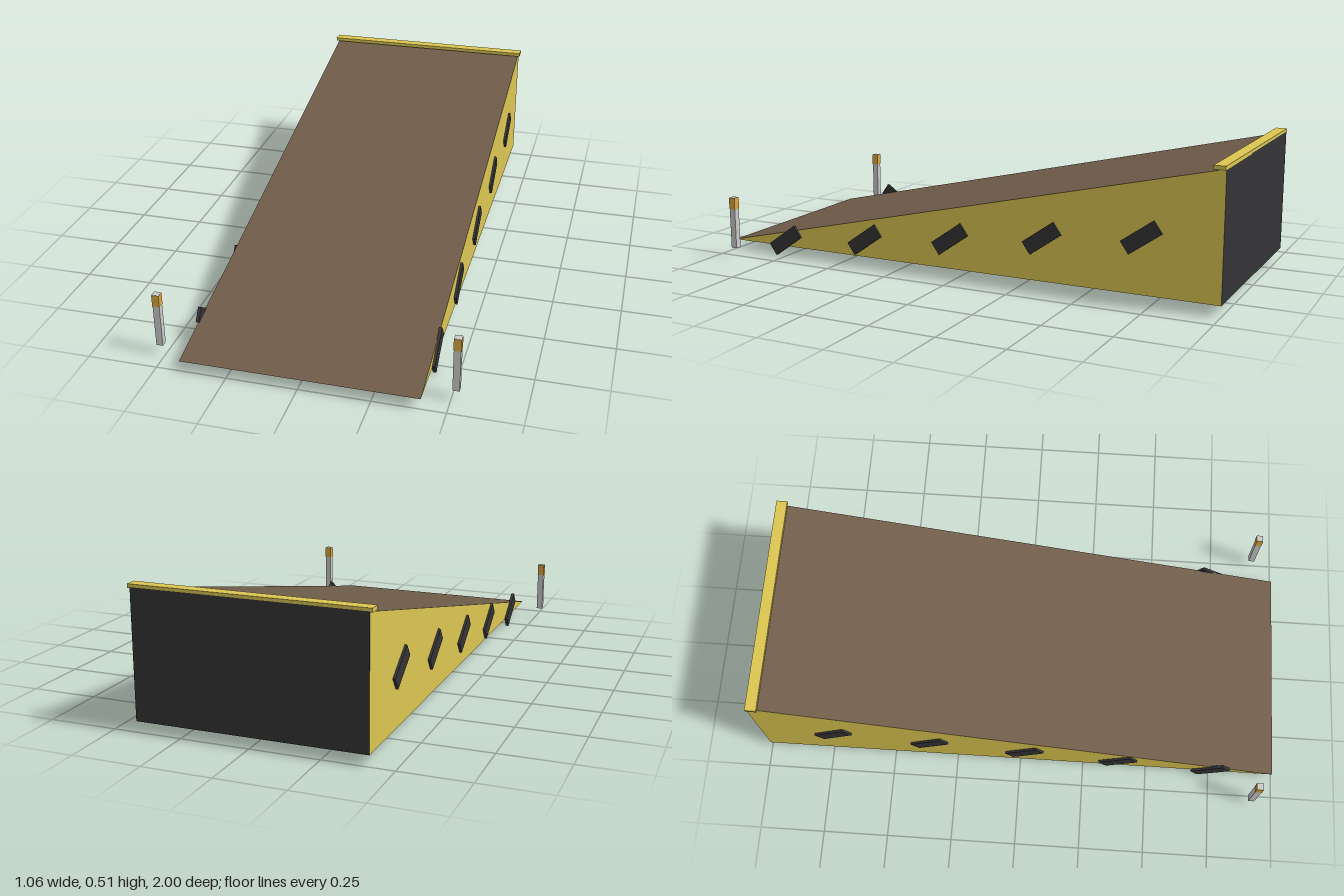
import * as THREE from 'three';

const mat = (color) => new THREE.MeshStandardMaterial({ color, flatShading: true });
const yellow = mat(0xdcc652);
const brown = mat(0x705c4a);
const dark = mat(0x343436);
const orange = mat(0xdca63e);
const grey = mat(0xcccccc);

// Flat panel from corners in counter-clockwise order, fanned from the first
function panel(...faces) {
  const pos = [];
  for (const f of faces) {
    for (let i = 1; i < f.length - 1; i++) pos.push(...f[0], ...f[i], ...f[i + 1]);
  }
  const g = new THREE.BufferGeometry();
  g.setAttribute('position', new THREE.Float32BufferAttribute(pos, 3));
  g.computeVertexNormals();
  return g;
}

function add(parent, name, geometry, material, x = 0, y = 0, z = 0) {
  const m = new THREE.Mesh(geometry, material);
  m.name = name;
  m.position.set(x, y, z);
  parent.add(m);
  return m;
}

export function createModel() {
  const model = new THREE.Group();
  model.name = 'ramp';
  const W = 0.415, Y0 = 0.04, Y1 = 0.5;

  // Wedge corners: toe at the front, base and crest at the back
  const [toeR, toeL] = [[-W, Y0, 1], [W, Y0, 1]];
  const [baseR, baseL] = [[-W, Y0, -1], [W, Y0, -1]];
  const [topR, topL] = [[-W, Y1, -1], [W, Y1, -1]];
  add(model, 'deck', panel([toeR, toeL, topL, topR]), brown);
  add(model, 'sidesAndBase', panel(
    [toeL, baseL, topL], [toeR, topR, baseR], [toeR, baseR, baseL, toeL]), yellow);
  add(model, 'backWall', panel([baseL, baseR, topR, topL]), dark);

  // Lip along the crest
  add(model, 'crestLip', new THREE.BoxGeometry(0.848, 0.014, 0.042), yellow, 0, 0.504, -0.979);

  const stripe = new THREE.BoxGeometry(0.012, 0.054, 0.143);
  const post = new THREE.BoxGeometry(0.024, 0.2, 0.024);
  const reflector = new THREE.BoxGeometry(0.026, 0.044, 0.026);

  for (const s of [1, -1]) {
    const side = s > 0 ? 'left' : 'right';
    // Slanted warning stripes, leaning opposite ways on the two sides
    for (let i = 0; i < 5; i++) {
      const m = add(model, side + 'Stripe' + (i + 1), stripe, dark,
        s * 0.418, 0.064 + i * 0.0445, 0.75 - i * 0.367);
      m.rotation.x = s * THREE.MathUtils.degToRad(35);
    }
    // Marker post with a reflector band at the top
    const marker = new THREE.Group();
    marker.name = side + 'Marker';
    marker.position.set(s * 0.516, Y0, 0.917);
    add(marker, 'post', post, grey, 0, 0.1, 0);
    add(marker, 'reflector', reflector, orange, 0, 0.177, 0);
    model.add(marker);
  }
  return model;
}
